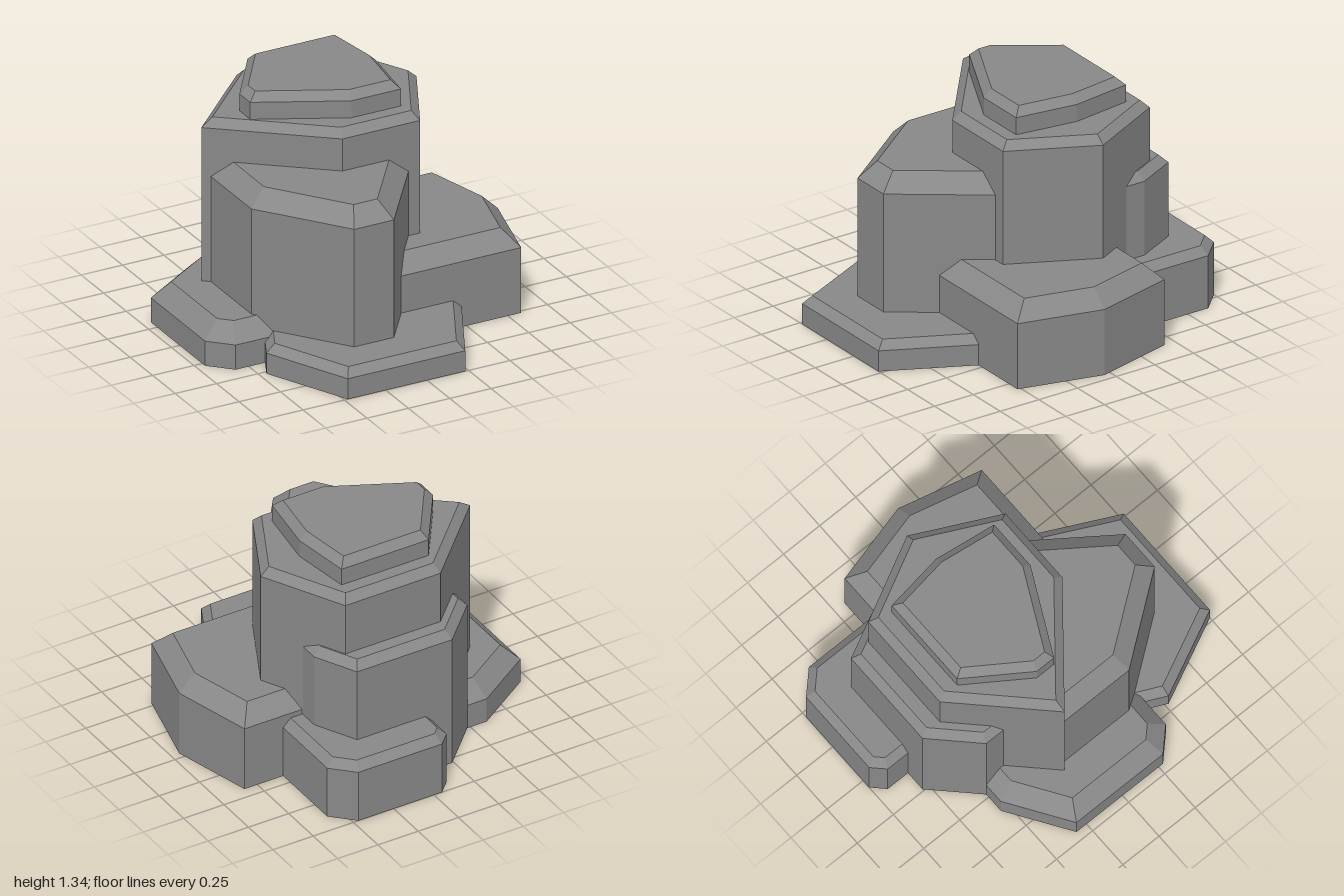
import * as THREE from 'three';

// Rock blocks: footprint corners [x, z] going round from the back, base height,
// top height, and the width of the 45 degree bevel around the top.
const BLOCKS = [
  { name: 'summitCap', base: 1.1, top: 1.335, bevel: 0.045, plan: [
    [-0.24, -0.55], [0.3, -0.55], [0.35, -0.2], [0.3, 0.16], [0, 0.16], [-0.48, -0.08], [-0.48, -0.2]] },
  { name: 'mainTower', base: 0, top: 1.19, bevel: 0.046, plan: [
    [-0.24, -0.67], [0.35, -0.67], [0.59, -0.2], [0.35, 0.28], [-0.12, 0.28], [-0.71, -0.2]] },
  { name: 'frontColumn', base: 0, top: 0.955, bevel: 0.095, plan: [
    [-0.31, -0.3], [0, -0.3], [0.28, -0.15], [0.28, 0.28], [-0.07, 0.76], [-0.31, 0.76], [-0.67, 0.28], [-0.67, -0.2]] },
  { name: 'backColumn', base: 0, top: 0.835, bevel: 0.046, plan: [
    [-0.24, -0.79], [0.35, -0.79], [0.47, -0.55], [0.47, -0.2], [-0.48, -0.2], [-0.48, -0.55]] },
  { name: 'leftBlock', base: 0, top: 0.48, bevel: 0.095, plan: [
    [0, -0.43], [0.83, -0.43], [0.95, 0.04], [0.83, 0.52], [0, 0.52], [-0.12, 0.04]] },
  { name: 'backBlock', base: 0, top: 0.355, bevel: 0.046, plan: [
    [-0.05, -1], [0.47, -1], [0.59, -0.88], [0.59, -0.3], [-0.12, -0.3], [-0.12, -0.93]] },
  { name: 'rightSlab', base: 0, top: 0.24, bevel: 0.095, plan: [
    [-0.6, -0.55], [-0.3, -0.55], [-0.3, 0.4], [-0.83, 0.4], [-0.95, 0.28], [-0.95, -0.32]] },
  { name: 'frontSlab', base: 0, top: 0.167, bevel: 0.046, plan: [
    [-0.48, 0.04], [0.23, 0.04], [0.47, 0.52], [0.23, 1], [-0.48, 1], [-0.71, 0.52]] },
];

// Moves every side of a convex footprint inward by d, with mitred corners.
function inset(plan, d) {
  const n = plan.length;
  const normals = plan.map(([x, z], i) => {
    const [x2, z2] = plan[(i + 1) % n];
    const len = Math.hypot(x2 - x, z2 - z);
    return [-(z2 - z) / len, (x2 - x) / len];
  });
  return plan.map(([x, z], i) => {
    const a = normals[(i + n - 1) % n], b = normals[i];
    const k = d / (1 + a[0] * b[0] + a[1] * b[1]);
    return [x + (a[0] + b[0]) * k, z + (a[1] + b[1]) * k];
  });
}

// Flat-faced block with a bevelled top and an open underside.
function blockGeometry({ plan, base, top, bevel }) {
  const ring = (pts, y) => pts.map(([x, z]) => [x, y, z]);
  const rings = [ring(plan, base), ring(plan, top - bevel), ring(inset(plan, bevel), top)];
  const pos = [];
  const tri = (a, b, c) => pos.push(...a, ...b, ...c);
  const n = plan.length;
  for (let r = 0; r < 2; r++) {
    const lo = rings[r], hi = rings[r + 1];
    for (let i = 0; i < n; i++) {
      const j = (i + 1) % n;
      tri(lo[i], hi[i], hi[j]);
      tri(lo[i], hi[j], lo[j]);
    }
  }
  const cap = rings[2];
  for (let i = 1; i < n - 1; i++) tri(cap[0], cap[i + 1], cap[i]);
  const geo = new THREE.BufferGeometry();
  geo.setAttribute('position', new THREE.Float32BufferAttribute(pos, 3));
  geo.computeVertexNormals();
  return geo;
}

export function createModel() {
  const model = new THREE.Group();
  model.name = 'rockFormation';
  const stone = new THREE.MeshStandardMaterial({ color: 0x888888, side: THREE.DoubleSide, flatShading: true });
  stone.name = 'greyStone';
  for (const block of BLOCKS) {
    const mesh = new THREE.Mesh(blockGeometry(block), stone);
    mesh.name = block.name;
    model.add(mesh);
  }
  return model;
}
